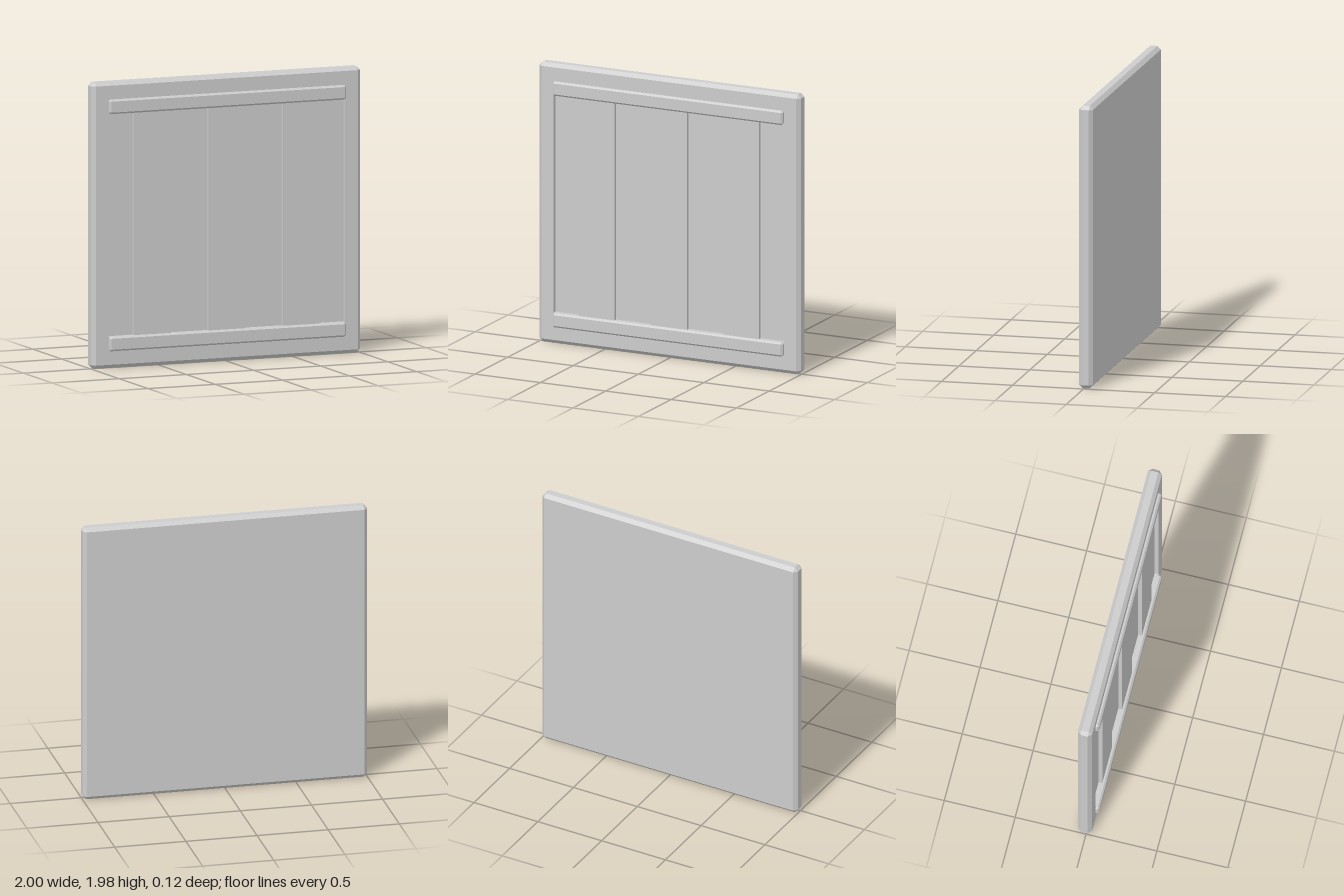
import * as THREE from 'three';
import { ConvexGeometry } from 'three/addons/geometries/ConvexGeometry.js';

// Box with every edge chamfered by c
function chamferBox(w, h, d, c) {
  const pts = [];
  for (const sx of [-1, 1]) for (const sy of [-1, 1]) for (const sz of [-1, 1]) {
    const x = w / 2, y = h / 2, z = d / 2;
    pts.push(
      new THREE.Vector3(sx * x, sy * (y - c), sz * (z - c)),
      new THREE.Vector3(sx * (x - c), sy * y, sz * (z - c)),
      new THREE.Vector3(sx * (x - c), sy * (y - c), sz * z));
  }
  return new ConvexGeometry(pts);
}

// Drops the triangles that face +z
function openFront(geometry) {
  const p = geometry.attributes.position, n = geometry.attributes.normal;
  const pos = [], nor = [];
  for (let i = 0; i < p.count; i += 3) {
    if (n.getZ(i) > 0.99) continue;
    for (let k = i; k < i + 3; k++) {
      pos.push(p.getX(k), p.getY(k), p.getZ(k));
      nor.push(n.getX(k), n.getY(k), n.getZ(k));
    }
  }
  const out = new THREE.BufferGeometry();
  out.setAttribute('position', new THREE.Float32BufferAttribute(pos, 3));
  out.setAttribute('normal', new THREE.Float32BufferAttribute(nor, 3));
  return out;
}

function rectangle(target, x0, x1, y0, y1) {
  target.moveTo(x0, y0);
  target.lineTo(x1, y0);
  target.lineTo(x1, y1);
  target.lineTo(x0, y1);
  target.closePath();
  return target;
}

export function createModel() {
  const group = new THREE.Group();
  group.name = 'panel';
  const grey = new THREE.MeshStandardMaterial({ color: 0xcccccc });
  grey.name = 'light grey';

  const add = (name, geometry, x, y, z) => {
    const mesh = new THREE.Mesh(geometry, grey);
    mesh.name = name;
    mesh.position.set(x, y, z);
    group.add(mesh);
  };

  const H = 1.98, mid = H / 2, back = -0.062, front = 0.037, chamfer = 0.025, depth = 0.027;

  // Chamfered slab, open at the front where the grooved face sits
  add('slab', openFront(chamferBox(2, H, front - back, chamfer)), 0, mid, (front + back) / 2);

  // Front face with four recessed bands between flush planks
  const face = rectangle(new THREE.Shape(), -1 + chamfer, 1 - chamfer, chamfer - mid, mid - chamfer);
  for (const [x0, x1] of [[-0.88, -0.69], [-0.417, -0.138], [0.138, 0.417], [0.69, 0.88]]) {
    face.holes.push(rectangle(new THREE.Path(), x0, x1, -0.77, 0.77));
  }
  add('groovedFace', new THREE.ExtrudeGeometry(face, { depth, bevelEnabled: false }), 0, mid, front - depth);

  // Floor of the recessed bands
  add('grooveFloor', new THREE.PlaneGeometry(1.8, 1.58), 0, mid, front - depth);

  // Raised cross rails at top and bottom, their backs sunk into the slab
  for (const side of [-1, 1]) {
    add(side > 0 ? 'topRail' : 'bottomRail', chamferBox(1.76, 0.1, 0.05, 0.012), 0, mid + side * 0.82, 0.037);
  }
  return group;
}
